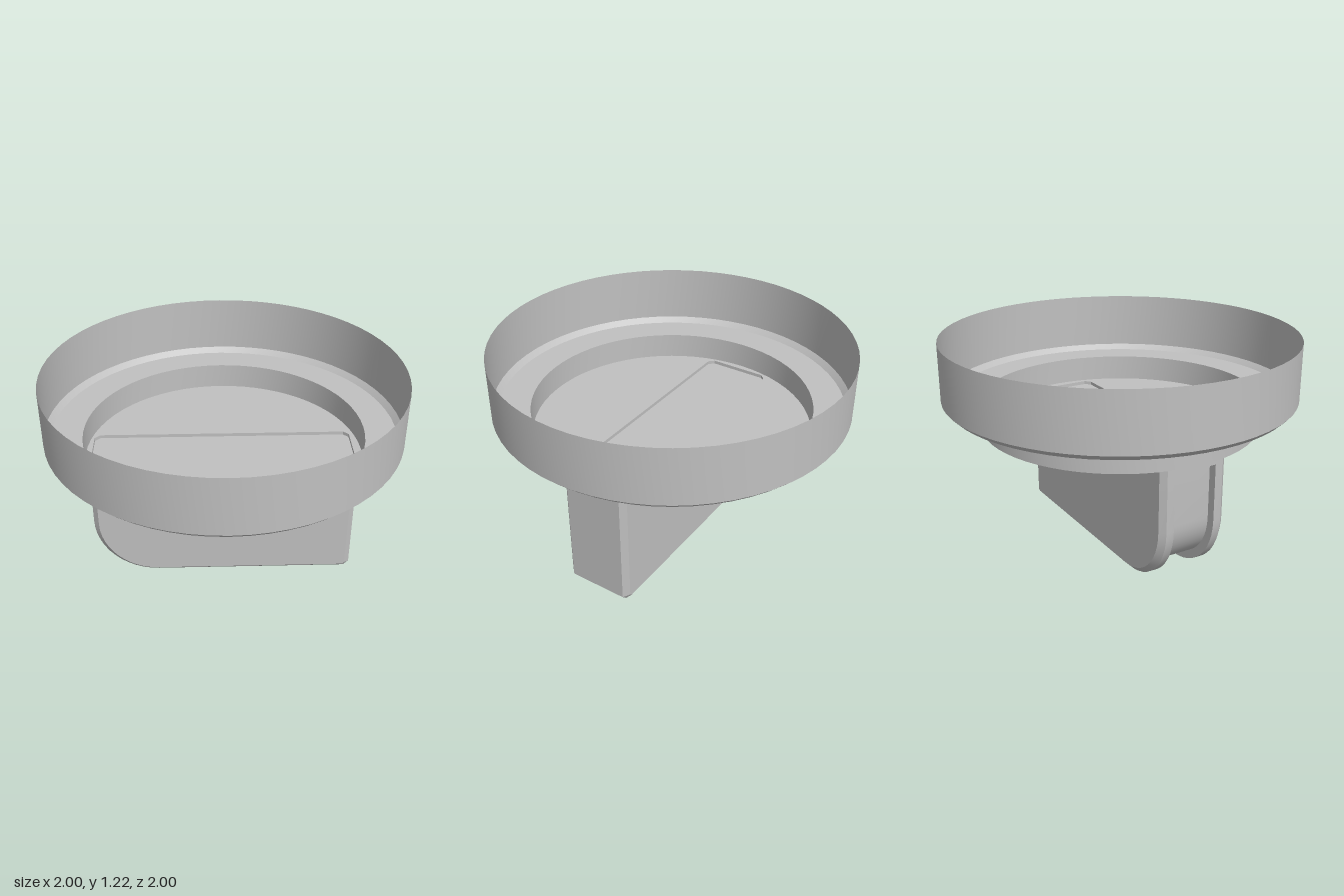
import * as THREE from 'three';
import { toCreasedNormals } from 'three/addons/utils/BufferGeometryUtils.js';

const FLOOR = 0.715;      // underside of the neck
const W = 0.2;            // half width of the grip
const C = 0.03;           // edge chamfer
const END = 0.745, BACK = -0.755, R = 0.36;

// Grip side profile (u, y), inset by i; g is the extra depth of the finger groove
function outline(i, g) {
  const d = i + g;
  const pts = [
    [END - i, FLOOR],
    [END - i, C + i * 0.4],
    [END - C - i * 0.4, i],
    [0.67, i],
    [0.67, d],
  ];
  const n = 12;
  for (let k = 0; k <= n; k++) {
    const a = (k / n) * Math.PI / 2;
    pts.push([BACK + R - (R - d) * Math.sin(a), R - (R - d) * Math.cos(a)]);
  }
  pts.push([BACK + d, 0.68], [BACK + i, 0.68], [BACK + i, FLOOR]);
  return pts;
}

// Skin between successive outlines placed across the width of the grip
function gripSkin() {
  const inner = 0.125, depth = 0.05;
  const sections = [
    [-W, C, 0], [-W + C, 0, 0], [-inner, 0, 0], [-inner, 0, depth],
    [inner, 0, depth], [inner, 0, 0], [W - C, 0, 0], [W, C, 0],
  ];
  const rows = sections.map(([v, i, g]) => outline(i, g).map(([u, y]) => [u, y, v]));
  const pos = [];
  for (let s = 0; s < rows.length - 1; s++) {
    const a = rows[s], b = rows[s + 1];
    for (let k = 0; k < a.length - 1; k++) {
      pos.push(...a[k], ...a[k + 1], ...b[k + 1], ...a[k], ...b[k + 1], ...b[k]);
    }
  }
  const geo = new THREE.BufferGeometry();
  geo.setAttribute('position', new THREE.Float32BufferAttribute(pos, 3));
  return toCreasedNormals(geo, 0.4);
}

// Plan of the grip seen from above, with chamfered corners
function slotPoints() {
  return [
    [END, -W + C], [END, W - C], [END - C, W], [BACK + C, W],
    [BACK, W - C], [BACK, -W + C], [BACK + C, -W], [END - C, -W],
  ].map(([x, y]) => new THREE.Vector2(x, y));
}

export function createModel() {
  const model = new THREE.Group();
  model.name = 'rotaryKnob';
  const grey = new THREE.MeshStandardMaterial({ color: 0xc0c0c0, side: THREE.DoubleSide });
  grey.name = 'plain grey';

  const add = (parent, name, geo) => {
    const mesh = new THREE.Mesh(geo, grey);
    mesh.name = name;
    parent.add(mesh);
    return mesh;
  };
  const lathe = (profile) => toCreasedNormals(
    new THREE.LatheGeometry(profile.map(([r, y]) => new THREE.Vector2(r, y)), 64), 0.4);

  // Open thin-walled skirt with a chamfered lower edge and a flat flange
  add(model, 'skirt', lathe([[0.79, 0.865], [0.97, 0.865], [1, 0.895], [1, 1.22]]));
  add(model, 'neck', lathe([[0.79, FLOOR], [0.79, 0.865]]));

  // Everything aligned with the diagonal grip
  const diagonal = new THREE.Group();
  diagonal.name = 'gripAssembly';
  diagonal.rotation.y = -Math.PI / 4;
  model.add(diagonal);

  // Neck floor with the slot where the grip joins
  const disc = new THREE.Shape();
  disc.absarc(0, 0, 0.79, 0, Math.PI * 2);
  disc.holes.push(new THREE.Path(slotPoints()));
  add(diagonal, 'neckFloor', new THREE.ShapeGeometry(disc, 32).rotateX(Math.PI / 2))
    .position.y = FLOOR;

  // Slightly sunken cover over the grip
  add(diagonal, 'gripCover',
    new THREE.ShapeGeometry(new THREE.Shape(slotPoints())).rotateX(Math.PI / 2))
    .position.y = FLOOR - 0.02;

  // Grip: grooved edge skin and two flat cheeks
  add(diagonal, 'gripEdge', gripSkin());
  const cheek = new THREE.Shape(outline(C, 0).map(([u, y]) => new THREE.Vector2(u, y)));
  add(diagonal, 'leftCheek', new THREE.ShapeGeometry(cheek)).position.z = W;
  add(diagonal, 'rightCheek', new THREE.ShapeGeometry(cheek)).position.z = -W;

  return model;
}
